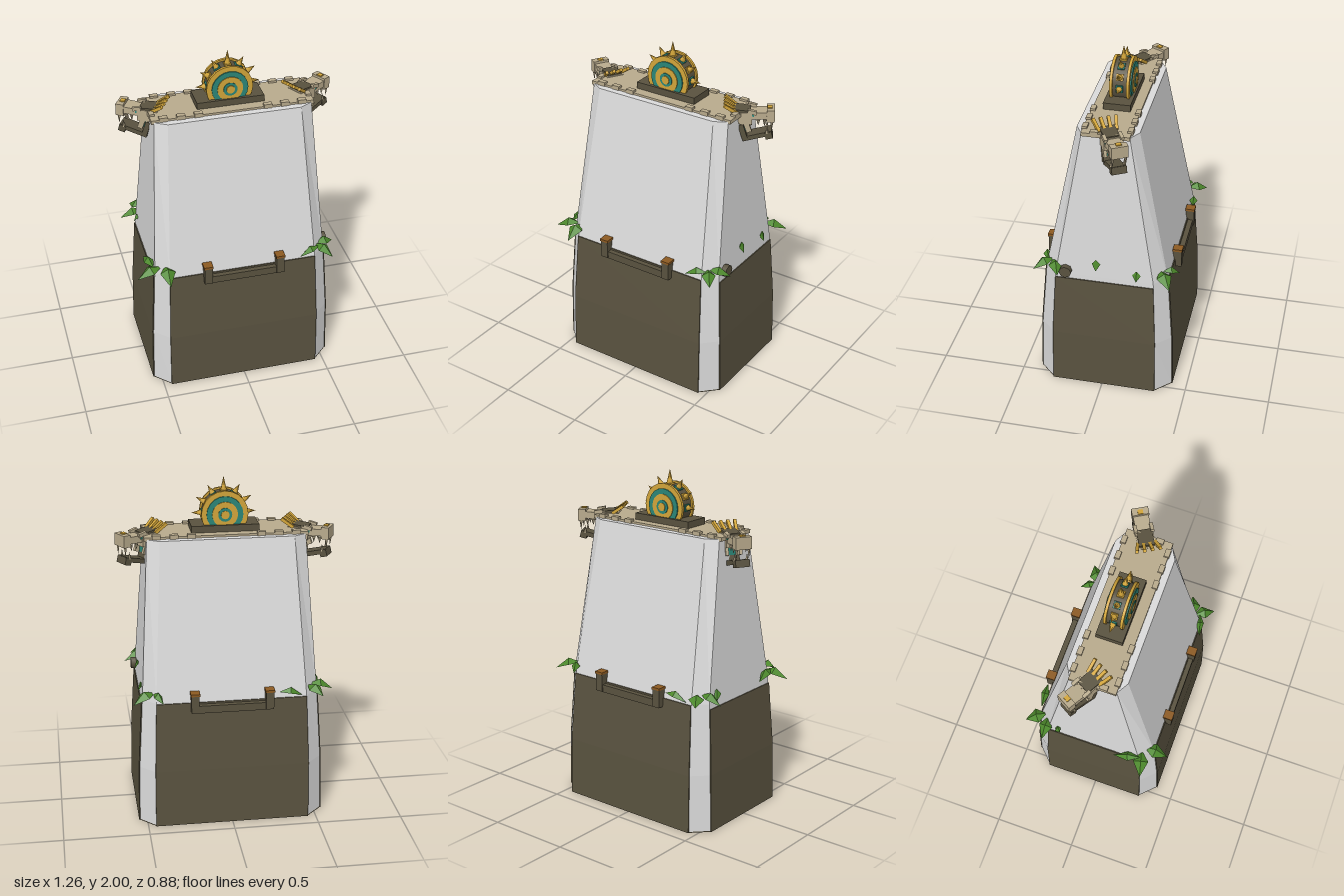
import * as THREE from 'three';

const mat = (name, color) => Object.assign(new THREE.MeshStandardMaterial({ color }), { name });
const M = {
  wall: mat('pale wall', 0xdadada),
  dark: mat('dark stone', 0x59523f),
  bone: mat('sandy stone', 0xb8aa8c),
  gold: mat('gold', 0xd2a53a),
  teal: mat('teal', 0x2b8577),
  leaf: mat('leaf green', 0x4d8a2c),
  wood: mat('orange wood', 0x8c5a22),
};
M.leaf.side = THREE.DoubleSide;

function add(parent, name, geo, material, x = 0, y = 0, z = 0, rx = 0, ry = 0, rz = 0) {
  const m = new THREE.Mesh(geo, material);
  m.name = name;
  m.position.set(x, y, z);
  m.rotation.set(rx, ry, rz);
  parent.add(m);
  return m;
}
const box = (w, h, d) => new THREE.BoxGeometry(w, h, d);

function fromTriangles(tris) {
  const g = new THREE.BufferGeometry();
  g.setAttribute('position', new THREE.Float32BufferAttribute(tris.flat(), 3));
  g.computeVertexNormals();
  return g;
}

// Closed, flat-faced loft through rings of [x, y, z] points
function loft(rings) {
  const t = [], n = rings[0].length, last = rings[rings.length - 1];
  for (let r = 0; r < rings.length - 1; r++) {
    for (let i = 0; i < n; i++) {
      const j = (i + 1) % n;
      const [a, b, c, d] = [rings[r][i], rings[r][j], rings[r + 1][j], rings[r + 1][i]];
      t.push(a, d, c, a, c, b);
    }
  }
  for (let i = 1; i < n - 1; i++) {
    t.push(rings[0][0], rings[0][i], rings[0][i + 1]);
    t.push(last[0], last[i + 1], last[i]);
  }
  return fromTriangles(t);
}

// Tower profile: y, half width, face half width, front z, front corner z, back z, back corner z
const PROFILE = [
  [0, 0.543, 0.455, 0.388, 0.30, -0.408, -0.32],
  [0.35, 0.536, 0.452, 0.380, 0.297, -0.400, -0.317],
  [0.77, 0.511, 0.437, 0.346, 0.275, -0.368, -0.297],
  [1.68, 0.455, 0.384, 0.163, 0.122, -0.188, -0.147],
];
function section(y) {
  let i = 0;
  while (i < PROFILE.length - 2 && y > PROFILE[i + 1][0]) i++;
  const a = PROFILE[i], b = PROFILE[i + 1], t = (y - a[0]) / (b[0] - a[0]);
  return a.map((v, k) => v + (b[k] - v) * t);
}
function octagon(y) {
  const [, hx, cx, zf, cf, zb, cb] = section(y);
  return [[hx, cb], [hx, cf], [cx, zf], [-cx, zf], [-hx, cf], [-hx, cb], [-cx, zb], [cx, zb]]
    .map(([x, z]) => [x, y, z]);
}
const rect = (y, x0, x1, z0, z1) => [[x1, y, z0], [x1, y, z1], [x0, y, z1], [x0, y, z0]];

function buildTower(g) {
  add(g, 'towerBase', loft([octagon(0), octagon(0.006)]), M.dark);
  add(g, 'towerWall', loft([0.006, 0.35, 0.77, 1.68].map(octagon)), M.wall);
  // Dark panels sit just proud of the lower walls
  const p = 0.006, front = [], back = [], left = [], right = [];
  for (const y of [0, 0.35, 0.765]) {
    const [, , cx, zf, , zb] = section(y);
    front.push(rect(y, -cx, cx, zf - 0.02, zf + p));
    back.push(rect(y, -cx, cx, zb - p, zb + 0.02));
  }
  for (const y of [0, 0.35, 0.738]) {
    const [, hx, , , cf, , cb] = section(y);
    left.push(rect(y, hx - 0.02, hx + p, cb, cf));
    right.push(rect(y, -hx - p, -hx + 0.02, cb, cf));
  }
  add(g, 'frontPanel', loft(front), M.dark);
  add(g, 'backPanel', loft(back), M.dark);
  add(g, 'leftPanel', loft(left), M.dark);
  add(g, 'rightPanel', loft(right), M.dark);
  // Railings on the front and back ledges
  for (const z of [0.363, -0.387]) {
    add(g, 'railBeam', box(0.40, 0.045, 0.036), M.dark, 0, 0.733, z);
    for (const x of [-0.216, 0.216]) {
      add(g, 'railPost', box(0.046, 0.105, 0.05), M.dark, x, 0.767, z);
      add(g, 'railPostCap', box(0.054, 0.014, 0.056), M.wood, x, 0.826, z);
    }
  }
  add(g, 'beamEnd', new THREE.CylinderGeometry(0.036, 0.036, 0.05, 8), M.dark, 0.515, 0.792, 0.214, 0, 0, Math.PI / 2);
}

function buildRoof(g) {
  add(g, 'roofSlab', box(0.94, 0.022, 0.272), M.bone, 0, 1.681, -0.013);
  for (const z of [0.113, -0.142]) {
    for (const x of [-0.4, -0.3, -0.2, 0.2, 0.3, 0.4]) {
      add(g, 'merlon', box(0.048, 0.034, 0.03), M.bone, x, 1.687, z);
    }
  }
  for (const x of [-0.455, 0.455]) {
    for (const z of [-0.07, 0.05]) add(g, 'sideMerlon', box(0.03, 0.034, 0.045), M.bone, x, 1.687, z);
  }
  add(g, 'wheelPlinth', box(0.39, 0.04, 0.156), M.dark, 0, 1.711, -0.016);
}

// Spiked sun wheel: stepped discs on both faces of a drum
function buildWheel(g) {
  const w = new THREE.Group();
  w.name = 'sunWheel';
  w.position.set(0, 1.79, -0.016);
  const disc = (name, r, depth, m) =>
    add(w, name, new THREE.CylinderGeometry(r, r, depth, 20), m, 0, 0, 0, Math.PI / 2);
  disc('drum', 0.124, 0.088, M.dark);
  for (const s of [1, -1]) {
    add(w, 'goldRim', new THREE.CylinderGeometry(0.135, 0.135, 0.016, 20), M.gold, 0, 0, s * 0.048, Math.PI / 2);
  }
  disc('tealRing', 0.105, 0.126, M.teal);
  disc('goldRing', 0.074, 0.136, M.gold);
  disc('tealHub', 0.04, 0.144, M.teal);
  disc('goldHub', 0.024, 0.154, M.gold);
  for (let i = 0; i < 7; i++) {
    const a = i * Math.PI / 6, len = i === 3 ? 0.09 : 0.065, r = 0.12 + len / 2;
    const spike = [Math.cos(a), Math.sin(a)];
    add(w, 'spike', new THREE.ConeGeometry(0.021, len, 6), M.gold,
      spike[0] * r, spike[1] * r, 0, 0, 0, a - Math.PI / 2);
    add(w, 'spikeCollar', box(0.04, 0.012, 0.04), i % 2 ? M.gold : M.teal,
      spike[0] * 0.124, spike[1] * 0.124, 0, 0, 0, a - Math.PI / 2);
  }
  g.add(w);
}

// Beast head pointing along its own +x
function buildHead(side) {
  const h = new THREE.Group();
  h.name = side > 0 ? 'leftBeastHead' : 'rightBeastHead';
  h.position.set(side * 0.45, 1.66, -0.035);
  h.rotation.y = side > 0 ? Math.PI / 6 : Math.PI * 5 / 6;
  add(h, 'cranium', box(0.12, 0.07, 0.10), M.bone, -0.005, 0, 0);
  add(h, 'craniumTop', box(0.105, 0.014, 0.088), M.dark, -0.005, 0.04, 0, 0, 0, -0.08);
  add(h, 'snout', box(0.13, 0.04, 0.088), M.bone, 0.105, 0.015, 0, 0, 0, 0.06);
  add(h, 'noseTip', box(0.045, 0.07, 0.096), M.bone, 0.158, 0.016, 0);
  add(h, 'nosePlate', box(0.026, 0.008, 0.03), M.gold, 0.152, 0.053, 0);
  add(h, 'throat', box(0.05, 0.07, 0.06), M.teal, 0, -0.05, 0);
  add(h, 'jaw', box(0.165, 0.026, 0.08), M.dark, 0.085, -0.112, 0, 0, 0, 0.26);
  add(h, 'jawHinge', box(0.03, 0.09, 0.09), M.dark, 0.005, -0.085, 0, 0, 0, 0.3);
  add(h, 'chin', box(0.04, 0.04, 0.086), M.dark, 0.15, -0.105, 0, 0, 0, 0.26);
  for (const z of [-0.037, 0.037]) {
    add(h, 'brow', box(0.05, 0.022, 0.02), M.bone, 0.055, 0.04, z * 1.25, 0, 0, -0.2);
    add(h, 'eye', box(0.022, 0.014, 0.008), M.teal, 0.055, 0.02, z * 1.22);
    add(h, 'cheek', box(0.03, 0.07, 0.018), M.bone, 0.03, -0.05, z * 1.1, 0, 0, 0.35);
    for (const [x, len] of [[0.165, 0.065], [0.125, 0.04], [0.09, 0.035]]) {
      add(h, 'upperFang', new THREE.ConeGeometry(0.011, len, 4), M.bone, x, -0.01 - len / 2, z, Math.PI);
    }
    add(h, 'lowerFang', new THREE.ConeGeometry(0.01, 0.045, 4), M.bone, 0.14, -0.07, z);
  }
  // Crest of gold horns fanned backwards
  [-0.05, -0.017, 0.017, 0.05].forEach((z) => {
    const horn = add(h, 'horn', box(0.085, 0.018, 0.018), M.gold, -0.065, 0.058, z * 1.15);
    horn.rotation.set(0, z * 5, -0.6, 'YZX');
  });
  return h;
}

// Folded pointed leaf, from base to tip in plan
function buildLeaf(g, x, y, z, tipX, tipZ, drop, width) {
  const L = Math.hypot(tipX - x, tipZ - z);
  const base = [0, 0, 0], ridge = [L * 0.5, 0.025, 0], tip = [L, -drop, 0];
  const l = [L * 0.45, -0.005, -width / 2], r = [L * 0.45, -0.005, width / 2];
  add(g, 'leaf', fromTriangles([base, ridge, l, l, ridge, tip, base, r, ridge, r, tip, ridge]),
    M.leaf, x, y, z, 0, -Math.atan2(tipZ - z, tipX - x));
}

export function createModel() {
  const g = new THREE.Group();
  g.name = 'watchtower';
  buildTower(g);
  buildRoof(g);
  buildWheel(g);
  g.add(buildHead(1), buildHead(-1));
  // Ivy at the corners: base x, y, z, tip x, z, drop, width
  const leaves = [
    [-0.45, 0.82, -0.33, -0.52, -0.44, 0.03, 0.09], [-0.46, 0.82, -0.31, -0.6, -0.31, 0.04, 0.08],
    [-0.27, 0.81, -0.39, -0.41, -0.38, 0.03, 0.05], [-0.52, 0.82, 0.29, -0.55, 0.13, 0.03, 0.06],
    [-0.47, 0.81, 0.28, -0.62, 0.32, 0.04, 0.09], [-0.45, 0.82, 0.29, -0.45, 0.435, 0.05, 0.09],
    [0.45, 0.82, 0.30, 0.575, 0.25, 0.03, 0.08], [0.45, 0.82, 0.30, 0.53, 0.405, 0.04, 0.08],
    [0.47, 0.82, 0.33, 0.34, 0.37, 0.03, 0.05], [0.44, 0.82, -0.32, 0.57, -0.4, 0.04, 0.09],
    [0.45, 0.82, -0.34, 0.40, -0.43, 0.03, 0.05], [0.5, 0.865, 0.035, 0.53, 0.035, 0.045, 0.05],
    [0.5, 0.82, -0.2, 0.53, -0.2, 0.04, 0.05], [-0.5, 0.82, -0.22, -0.53, -0.25, 0.04, 0.05],
  ];
  leaves.forEach((v) => buildLeaf(g, ...v));
  return g;
}
